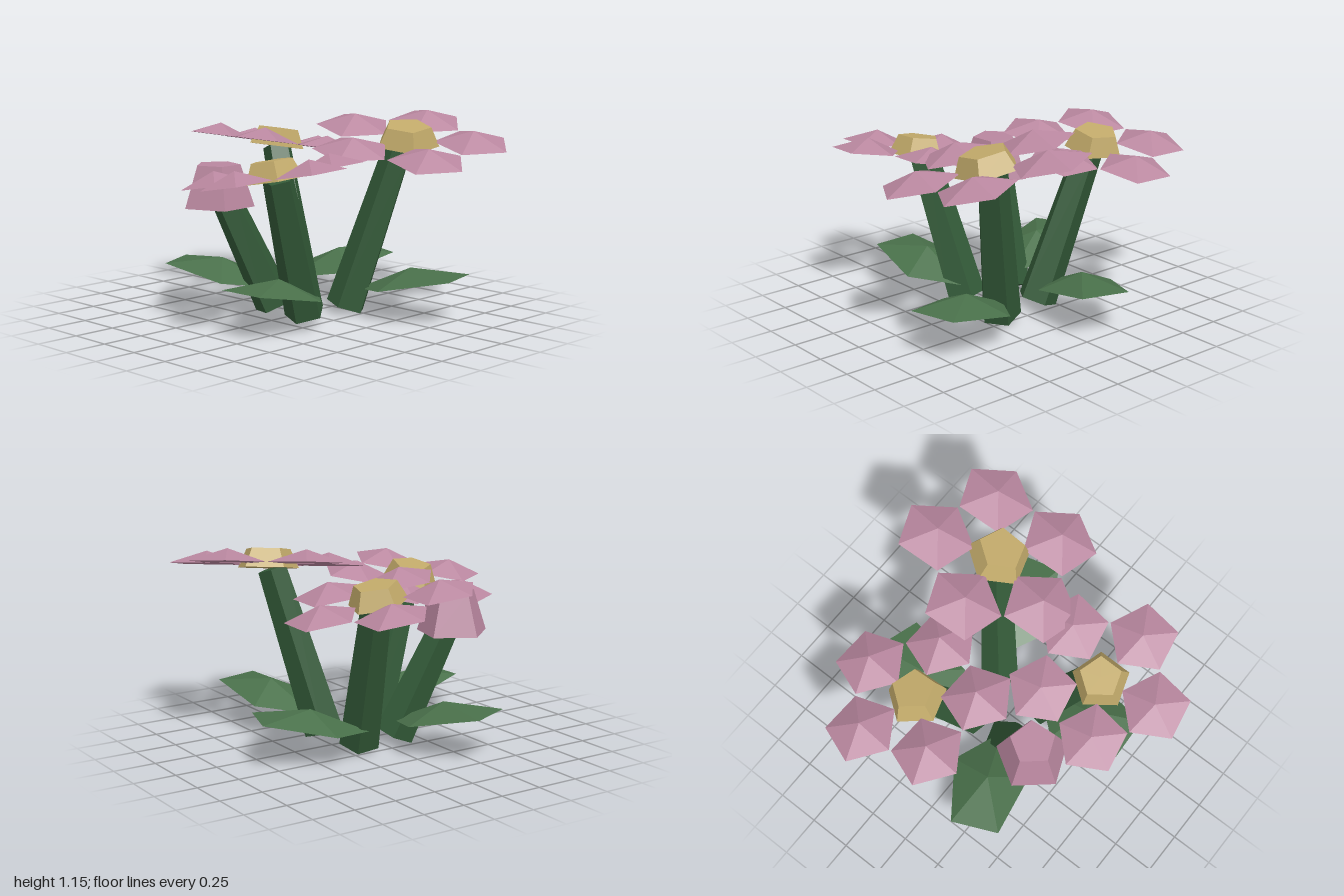
import * as THREE from 'three';

const mat = (name, color) => {
  const m = new THREE.MeshStandardMaterial({ color, flatShading: true });
  m.name = name;
  return m;
};

const UP = new THREE.Vector3(0, 1, 0);

export function createModel() {
  const petalPink = mat('petal pink', 0xb9879f);
  const pollenYellow = mat('pollen yellow', 0xc2aa6a);
  const leafGreen = mat('leaf green', 0x49704a);
  const stemGreen = mat('stem green', 0x335a38);

  const root = new THREE.Group();
  root.name = 'flowerClump';

  const add = (parent, name, geometry, material) => {
    const mesh = new THREE.Mesh(geometry, material);
    mesh.name = name;
    parent.add(mesh);
    return mesh;
  };

  // Five-sided stem between two points
  const stem = (name, from, to) => {
    const a = new THREE.Vector3(...from), b = new THREE.Vector3(...to);
    const dir = b.clone().sub(a);
    const mesh = add(root, name, new THREE.CylinderGeometry(0.088, 0.118, dir.length(), 5), stemGreen);
    mesh.position.copy(a).lerp(b, 0.5);
    mesh.quaternion.setFromUnitVectors(UP, dir.normalize());
  };

  // Open flower: a faceted disc ringed by five petals pointing inward
  const flower = (name, pos, normal, phase, s) => {
    const g = new THREE.Group();
    g.name = name;
    g.position.set(...pos);
    g.quaternion.setFromUnitVectors(UP, new THREE.Vector3(...normal).normalize());
    const disc = add(g, 'flowerCenter', new THREE.CylinderGeometry(0.135 * s, 0.187 * s, 0.11, 5), pollenYellow);
    disc.rotation.y = Math.PI;
    disc.position.y = 0.015;
    for (let i = 0; i < 5; i++) {
      const pivot = new THREE.Group();
      pivot.name = 'petalPivot';
      pivot.rotation.y = phase + (i * Math.PI * 2) / 5;
      const petal = add(pivot, 'petal', new THREE.ConeGeometry(0.225 * s, 0.075, 5), petalPink);
      petal.position.set(0, 0.02, -0.375 * s);
      g.add(pivot);
    }
    root.add(g);
  };

  // Leaf: a stretched shallow cone rising outward
  const leaf = (name, x, z, dx, dz) => {
    const g = new THREE.Group();
    g.name = name;
    g.position.set(x, 0.19, z);
    g.rotation.y = Math.atan2(-dx, -dz);
    const blade = add(g, 'leafBlade', new THREE.ConeGeometry(1, 1, 5).translate(0, 0.5, 0), leafGreen);
    blade.scale.set(0.24, 0.09, 0.36);
    blade.rotation.x = 0.19;
    root.add(g);
  };

  stem('backStem', [0.16, 0.02, -0.15], [0.25, 0.9, -0.46]);
  stem('rightSideStem', [-0.13, 0.03, 0.15], [-0.42, 0.84, 0.23]);
  stem('frontStem', [0.2, 0.02, 0.16], [0.4, 0.97, 0.39]);
  stem('budStem', [-0.08, 0.03, -0.15], [-0.35, 0.68, -0.28]);

  flower('backFlower', [0.27, 0.935, -0.49], [0.18, 1, 0.0], -0.36, 0.92);
  flower('rightSideFlower', [-0.46, 0.87, 0.23], [-0.05, 1, -0.17], 0.5, 0.89);
  flower('frontFlower', [0.41, 1.01, 0.43], [-0.13, 1, 0.17], 0.09, 1);

  // Closed bud, tapering upward
  const bud = add(root, 'bud', new THREE.CylinderGeometry(0.13, 0.21, 0.24, 5), petalPink);
  bud.position.set(-0.39, 0.745, -0.29);
  bud.rotation.y = Math.PI + 0.08;

  leaf('backLeaf', -0.21, -0.48, -0.4, -0.9);
  leaf('leftLeaf', 0.52, -0.18, 0.95, 0.3);
  leaf('frontLeaf', 0.35, 0.54, 0.25, 0.97);
  leaf('rightLeaf', -0.42, 0.22, -1, 0.05);

  return root;
}
